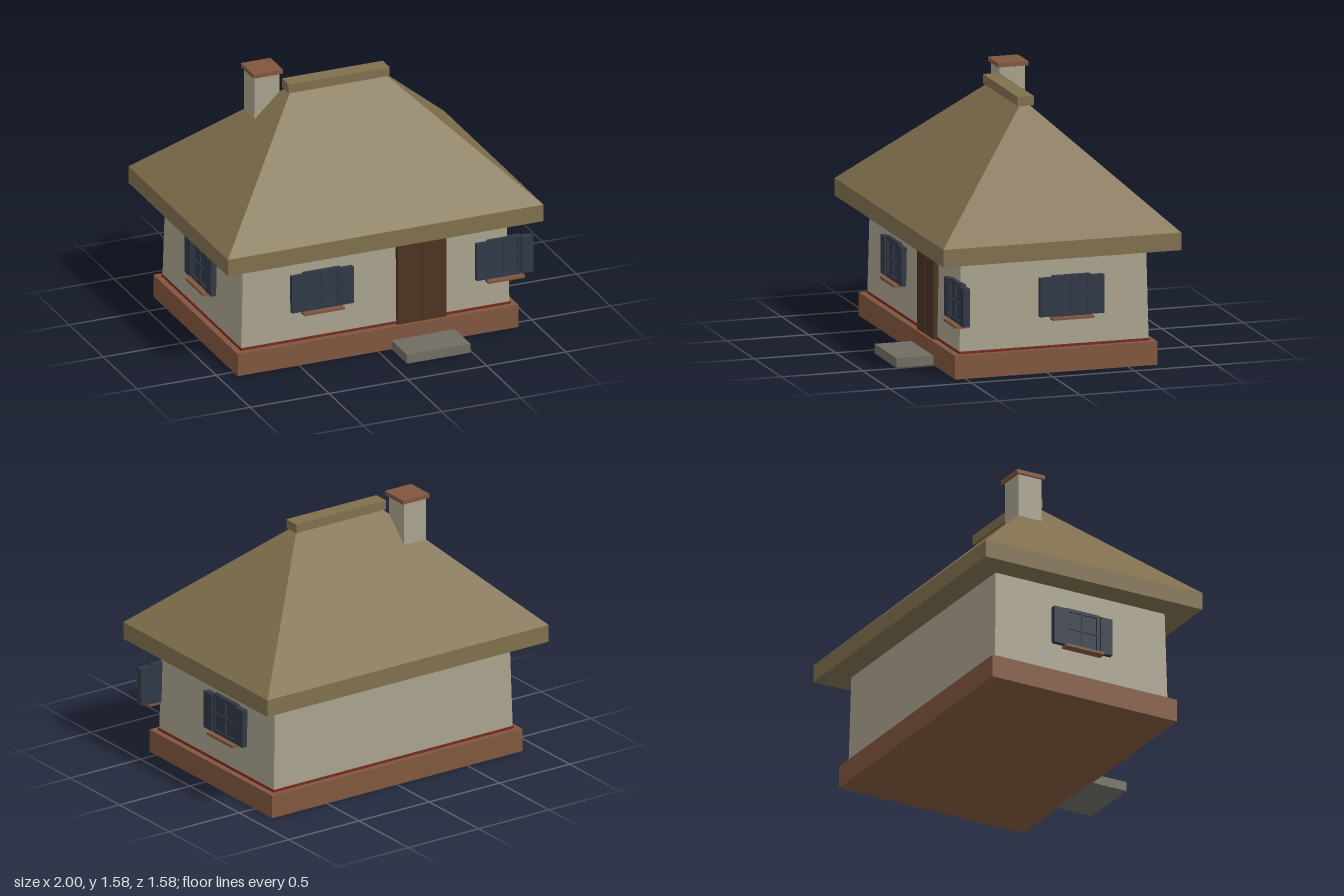
import * as THREE from 'three';

const mat = (name, color) => {
  const m = new THREE.MeshStandardMaterial({ color });
  m.name = name;
  return m;
};

export function createModel() {
  const model = new THREE.Group();
  model.name = 'cottage';

  const plaster = mat('plaster', 0xa8a18d);
  const thatch = mat('thatch', 0x7f6f4d);
  const brick = mat('brick', 0x80563d);
  const red = mat('red trim', 0x752a22);
  const wood = mat('dark wood', 0x4b3321);
  const navy = mat('navy paint', 0x2f3845);
  const stone = mat('stone', 0x706c63);

  const MID = -0.057; // z of the house centre line

  const add = (parent, name, geometry, material) => {
    const mesh = new THREE.Mesh(geometry, material);
    mesh.name = name;
    parent.add(mesh);
    return mesh;
  };
  // Box given by its limits on each axis
  const box = (parent, name, material, [x0, x1], [y0, y1], [z0, z1]) => {
    const g = new THREE.BoxGeometry(x1 - x0, y1 - y0, z1 - z0);
    g.translate((x0 + x1) / 2, (y0 + y1) / 2, (z0 + z1) / 2);
    return add(parent, name, g, material);
  };
  // Box whose top has its own half width and half depth
  const frustum = (name, material, [y0, y1], bottom, top) => {
    const g = new THREE.BoxGeometry(2, 1, 2);
    const p = g.attributes.position;
    for (let i = 0; i < p.count; i++) {
      const up = p.getY(i) > 0;
      const [hx, hz] = up ? top : bottom;
      p.setXYZ(i, p.getX(i) * hx, up ? y1 : y0, p.getZ(i) * hz + MID);
    }
    g.computeVertexNormals();
    return add(model, name, g, material);
  };
  const around = (c, h) => [c - h, c + h];

  // Base, trim and walls
  box(model, 'plinth', brick, [-0.89, 0.89], [0, 0.14], around(MID, 0.62));
  box(model, 'baseTrim', red, [-0.855, 0.855], [0.138, 0.155], around(MID, 0.584));
  frustum('walls', plaster, [0.14, 0.72], [0.85, 0.58], [0.835, 0.569]);

  // Hipped roof
  box(model, 'eaves', thatch, [-1, 1], [0.7, 0.805], around(MID, 0.73));
  frustum('roofSlopes', thatch, [0.805, 1.475], [1, 0.73], [0.295, 0.022]);
  box(model, 'ridgeCap', thatch, [-0.32, 0.32], [1.467, 1.522], around(MID - 0.003, 0.05));

  // Chimney
  box(model, 'chimney', plaster, around(-0.412, 0.078), [1.1, 1.56], around(-0.194, 0.078));
  box(model, 'chimneyCap', brick, around(-0.41, 0.094), [1.555, 1.58], around(-0.194, 0.093));

  // Double door with lintel and step
  const door = new THREE.Group();
  door.name = 'door';
  model.add(door);
  box(door, 'doorPanel', wood, [0.132, 0.44], [0.14, 0.65], [0.5, 0.535]);
  box(door, 'leftLeaf', wood, [0.289, 0.44], [0.14, 0.648], [0.53, 0.546]);
  box(door, 'rightLeaf', wood, [0.132, 0.283], [0.14, 0.648], [0.53, 0.546]);
  box(door, 'lintel', navy, [0.1, 0.473], [0.647, 0.68], [0.51, 0.55]);
  box(model, 'doorStep', stone, [0.085, 0.487], [0, 0.057], [0.55, 0.79]);

  // Shuttered window, built facing +z with the wall at z = 0
  const window = (name, x, z, turn, scale = 1) => {
    const w = new THREE.Group();
    w.name = name;
    w.position.set(x, 0, z);
    w.rotation.y = turn;
    w.scale.x = scale;
    model.add(w);
    box(w, 'pane', navy, [-0.11, 0.11], [0.33, 0.565], [-0.01, 0.012]);
    for (const s of [-1, 1]) {
      box(w, 'frameSide', navy, around(s * 0.106, 0.01), [0.326, 0.568], [-0.01, 0.022]);
      box(w, 'shutter', navy, around(s * 0.156, 0.04), [0.33, 0.56], [-0.01, 0.031]);
      box(w, 'frameRail', navy, [-0.115, 0.115], around(0.447 + s * 0.112, 0.01), [-0.01, 0.022]);
    }
    box(w, 'uprightBar', navy, around(0, 0.006), [0.335, 0.56], [0, 0.02]);
    box(w, 'crossBar', navy, [-0.105, 0.105], around(0.445, 0.006), [0, 0.02]);
    box(w, 'sill', brick, [-0.128, 0.128], [0.31, 0.325], [-0.01, 0.055]);
  };
  window('frontRightWindow', -0.342, 0.516, 0);
  window('frontLeftWindow', 0.812, 0.516, 0, 0.91);
  window('leftWindow', 0.845, -0.16, Math.PI / 2);
  window('rightWindow', -0.845, MID, -Math.PI / 2);

  return model;
}
